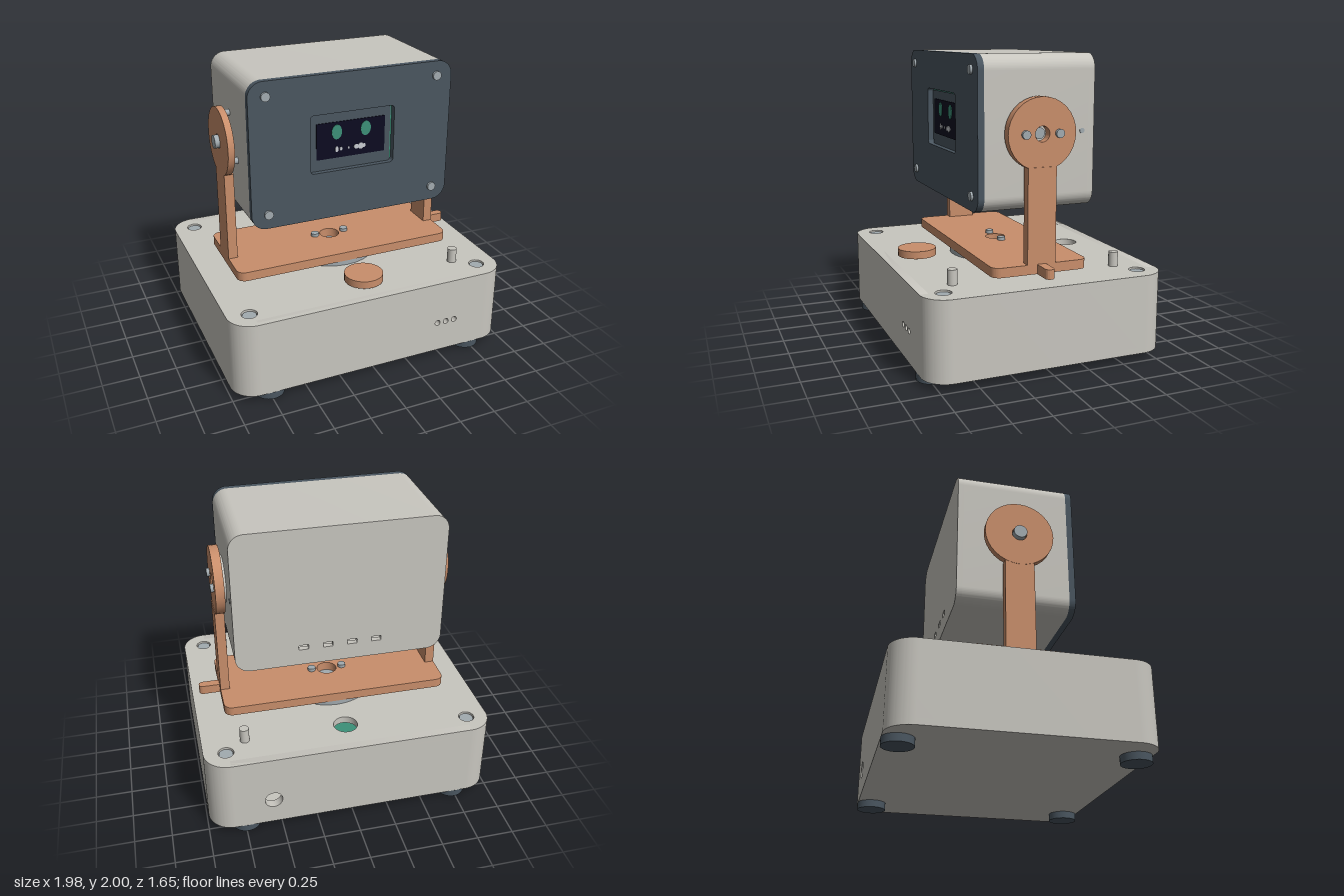
import * as THREE from 'three';
import { toCreasedNormals } from 'three/addons/utils/BufferGeometryUtils.js';

const mat = (name, color) => {
  const m = new THREE.MeshStandardMaterial({ color });
  m.name = name;
  return m;
};

// Rounded rectangle outline (Shape or Path)
function roundRect(target, x0, y0, x1, y1, r) {
  target.moveTo(x0 + r, y0);
  target.lineTo(x1 - r, y0);
  target.absarc(x1 - r, y0 + r, r, -Math.PI / 2, 0);
  target.lineTo(x1, y1 - r);
  target.absarc(x1 - r, y1 - r, r, 0, Math.PI / 2);
  target.lineTo(x0 + r, y1);
  target.absarc(x0 + r, y1 - r, r, Math.PI / 2, Math.PI);
  target.lineTo(x0, y0 + r);
  target.absarc(x0 + r, y0 + r, r, Math.PI, Math.PI * 1.5);
  return target;
}
const rectShape = (...a) => roundRect(new THREE.Shape(), ...a);
const rectHole = (...a) => roundRect(new THREE.Path(), ...a);
const circleHole = (x, y, r) => new THREE.Path().absarc(x, y, r, 0, Math.PI * 2);

export function createModel() {
  const root = new THREE.Group();
  root.name = 'panTiltDevice';
  const shell = mat('shellGrey', 0xc8c6bf);
  const dark = mat('darkSlate', 0x4a5660);
  const orange = mat('copperOrange', 0xc98e6b);
  const metal = mat('metalGrey', 0xa2abb0);
  const green = mat('boardGreen', 0x3c9078);
  const navy = mat('screenNavy', 0x0c0b20);
  const pale = mat('pixelWhite', 0xc9ccd2);

  function add(name, geo, material, parent = root) {
    const m = new THREE.Mesh(geo, material);
    m.name = name;
    parent.add(m);
    return m;
  }
  function group(name) {
    const g = new THREE.Group();
    g.name = name;
    root.add(g);
    return g;
  }
  const extrude = (shape, depth) => toCreasedNormals(
    new THREE.ExtrudeGeometry(shape, { depth, bevelEnabled: false, curveSegments: 16 }), 0.6);
  // Outline in the ground plane (shape y = -z), raised from y0 to y1
  const slab = (shape, y0, y1) => extrude(shape, y1 - y0).rotateX(-Math.PI / 2).translate(0, y0, 0);
  // Outline seen from the front, from z0 to z1
  const panel = (shape, z0, z1) => extrude(shape, z1 - z0).translate(0, 0, z0);
  // Cylinders along each axis
  const cylY = (r, x, z, y0, y1) =>
    new THREE.CylinderGeometry(r, r, y1 - y0, 32).translate(x, (y0 + y1) / 2, z);
  const cylX = (r, y, z, x0, x1) =>
    new THREE.CylinderGeometry(r, r, x1 - x0, 32).rotateZ(Math.PI / 2).translate((x0 + x1) / 2, y, z);
  const cylZ = (r, x, y, z0, z1) =>
    new THREE.CylinderGeometry(r, r, z1 - z0, 24).rotateX(Math.PI / 2).translate(x, y, (z0 + z1) / 2);
  const signs = [-1, 1];

  // ---- Base: hollow box with drilled walls ----
  const base = group('base');
  const W = 0.99, D = 0.825, R = 0.165, T = 0.06;
  for (const s of signs) {
    // Side wall including both rounded corners
    const side = new THREE.Shape();
    const xi = W - R, zi = D - R;
    side.moveTo(xi, -D);
    side.absarc(xi, -zi, R, -Math.PI / 2, 0);
    side.lineTo(W, zi);
    side.absarc(xi, zi, R, 0, Math.PI / 2);
    side.lineTo(xi, D - T);
    side.absarc(xi, zi, R - T, Math.PI / 2, 0, true);
    side.lineTo(W - T, -zi);
    side.absarc(xi, -zi, R - T, 0, -Math.PI / 2, true);
    const g = slab(side, 0.05, 0.58);
    if (s < 0) g.rotateY(Math.PI);
    add('baseSideWall', g, shell, base);
  }
  const wallRect = () => rectShape(-W + R, 0.05, W - R, 0.58, 0.0001);
  const front = wallRect();
  for (const x of [0.46, 0.525, 0.59]) front.holes.push(circleHole(x, 0.27, 0.02));
  add('baseFrontWall', panel(front, D - T, D), shell, base);
  const back = wallRect();
  back.holes.push(circleHole(0.557, 0.24, 0.06));
  add('baseBackWall', panel(back, -D, -D + T), shell, base);

  const lid = rectShape(-W, -D, W, D, R);
  lid.holes.push(circleHole(0, 0.565, 0.083));
  for (const x of signs) for (const z of signs) lid.holes.push(circleHole(x * 0.84, z * 0.675, 0.053));
  add('baseLid', slab(lid, 0.53, 0.58), shell, base);
  add('baseFloor', slab(rectShape(-W, -D, W, D, R), 0.05, 0.09), shell, base);
  add('innerBoard', cylY(0.2, 0, -0.565, 0.43, 0.45), green, base);
  add('indicatorBoard', new THREE.BoxGeometry(0.3, 0.12, 0.02).translate(0.525, 0.27, 0.745), green, base);
  for (const x of signs) for (const z of signs) {
    add('lidScrew', cylY(0.047, x * 0.84, z * 0.675, 0.5, 0.57), metal, base);
    add('foot', cylY(0.1, x * 0.74, z * 0.727, 0, 0.05), dark, base);
  }
  for (const z of [-0.575, 0.57]) add('stopPost', cylY(0.032, 0.7, z, 0.58, 0.68), shell, base);

  // ---- Knob ----
  const knob = group('knob');
  add('knobStem', cylY(0.06, 0, 0.59, 0.57, 0.6), orange, knob);
  add('knobCap', cylY(0.132, 0, 0.59, 0.6, 0.652), orange, knob);

  // ---- Pan platform ----
  const pan = group('panPlatform');
  add('turntable', cylY(0.33, 0, 0, 0.58, 0.613), metal, pan);
  const plate = rectShape(-0.795, -0.33, 0.795, 0.33, 0.06);
  plate.holes.push(circleHole(0, 0, 0.07));
  add('panPlate', slab(plate, 0.613, 0.677), orange, pan);
  add('pointerTab', slab(rectShape(0.76, -0.03, 0.94, 0.03, 0.028), 0.613, 0.677), orange, pan);
  for (const s of signs) add('panScrew', cylY(0.028, s * 0.113, 0, 0.66, 0.7), metal, pan);

  // ---- Arms: upright with a round head, drilled in the middle ----
  const HY = 1.508;
  for (const s of signs) {
    const arm = group(s > 0 ? 'leftArm' : 'rightArm');
    const x0 = s > 0 ? 0.728 : 0.752, x1 = s > 0 ? 0.79 : 0.797;
    const disc = new THREE.Shape().absarc(0, HY, 0.232, 0, Math.PI * 2);
    disc.holes.push(circleHole(0, HY, 0.05));
    const discGeo = extrude(disc, x1 - x0).rotateY(Math.PI / 2).translate(s > 0 ? x0 : -x1, 0, 0);
    add('armDisc', discGeo, orange, arm);
    add('armPost', new THREE.BoxGeometry(0.065, 0.64, 0.196).translate(s * 0.7625, 0.98, 0), orange, arm);
  }
  // Bearing side
  const bearing = group('leftBearing');
  add('bearingBoss', cylX(0.16, HY, 0, 0.7, 0.728), shell, bearing);
  add('bearingPin', cylX(0.036, HY, 0, 0.72, 0.745), metal, bearing);
  for (const s of signs) add('bearingScrew', cylX(0.028, HY, s * 0.115, 0.72, 0.812), metal, bearing);
  // Drive side
  const drive = group('rightDrive');
  add('driveHorn', cylX(0.16, HY, 0, -0.753, -0.735), orange, drive);
  add('driveShaft', cylX(0.065, HY, 0, -0.74, -0.7), metal, drive);
  add('driveBolt', cylX(0.045, HY, 0, -0.828, -0.74), metal, drive);
  for (const a of [90, 210, 330]) {
    const t = THREE.MathUtils.degToRad(a);
    add('driveScrew', cylX(0.022, HY + 0.19 * Math.sin(t), 0.17 * Math.cos(t), -0.76, -0.712), metal, drive);
  }

  // ---- Head ----
  const head = group('head');
  const body = rectShape(-0.71, 1.01, 0.71, 2, 0.1);
  body.holes.push(rectHole(-0.65, 1.07, 0.65, 1.94, 0.05));
  add('headShell', panel(body, -0.36, 0.357), shell, head);
  const rear = rectShape(-0.71, 1.01, 0.71, 2, 0.1);
  for (const x of [-0.25, -0.083, 0.083, 0.25]) rear.holes.push(rectHole(x - 0.034, 1.125, x + 0.034, 1.16, 0.005));
  add('headBack', panel(rear, -0.4, -0.36), shell, head);
  add('cableHole', cylY(0.04, 0, -0.28, 1.005, 1.012), dark, head);
  add('sideHole', cylX(0.017, HY, -0.315, 0.705, 0.713), metal, head);
  const face = rectShape(-0.71, 1.01, 0.71, 2, 0.1);
  face.holes.push(rectHole(-0.3, 1.34, 0.295, 1.737, 0.025));
  add('facePlate', panel(face, 0.357, 0.4), dark, head);
  for (const x of signs) for (const y of [1.11, 1.903])
    add('faceScrew', cylZ(0.03, x * 0.597, y, 0.39, 0.416), metal, head);

  // ---- Display ----
  const display = group('display');
  add('displayBoard', new THREE.BoxGeometry(0.64, 0.44, 0.02).translate(0, 1.54, 0.347), green, display);
  add('displayFrame', panel(rectShape(-0.288, 1.34, 0.283, 1.724, 0.01), 0.357, 0.364), dark, display);
  add('screen', panel(rectShape(-0.247, 1.418, 0.242, 1.665, 0.002), 0.364, 0.369), navy, display);
  for (const x of [-0.105, 0.102])
    add('eye', cylZ(1, 0, 0, 0, 0.004).scale(0.036, 0.05, 1).translate(x, 1.597, 0.369), green, display);
  // Mouth pixels: x, half width, half height
  for (const [x, w, h] of [[-0.105, 0.012, 0.02], [-0.075, 0.01, 0.012], [-0.02, 0.006, 0.008],
    [0.035, 0.018, 0.016], [0.068, 0.02, 0.022], [0.09, 0.012, 0.014]])
    add('mouthPixel', cylZ(1, 0, 0, 0, 0.004).scale(w, h, 1).translate(x, 1.478, 0.369), pale, display);

  return root;
}
